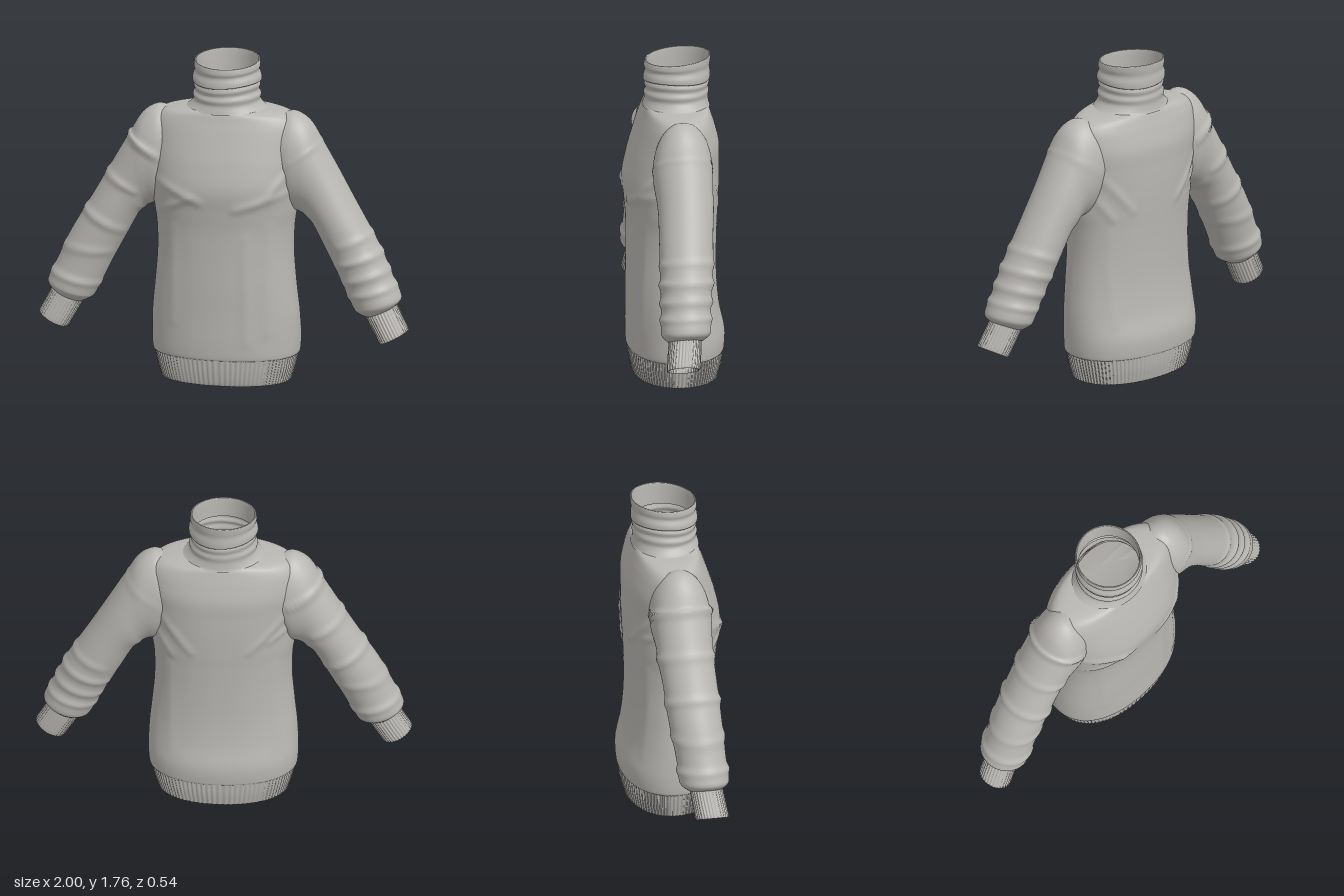
import * as THREE from 'three';

// Smooth interpolation through a list of key rows, u in 0..1
function sample(keys, u) {
  const n = keys.length - 1, f = Math.min(u * n, n - 1e-6), i = Math.floor(f), t = f - i;
  const k = (j) => keys[Math.max(0, Math.min(n, j))];
  return k(i).map((b, c) => {
    const a = k(i - 1)[c], d = k(i + 1)[c], e = k(i + 2)[c];
    return b + 0.5 * t * (d - a + t * (2 * a - 5 * b + 4 * d - e + t * (3 * (b - d) + e - a)));
  });
}

// Closed rings joined into a tube; point(u, angle) returns [x, y, z]
function loft(rows, segs, point, flip) {
  const pos = [], idx = [];
  for (let i = 0; i <= rows; i++) {
    for (let j = 0; j < segs; j++) pos.push(...point(i / rows, (j / segs) * Math.PI * 2));
  }
  for (let i = 0; i < rows; i++) {
    for (let j = 0; j < segs; j++) {
      const k = (j + 1) % segs;
      const a = i * segs + j, b = i * segs + k, c = a + segs, d = b + segs;
      if (flip) idx.push(a, b, c, b, d, c);
      else idx.push(a, c, b, b, c, d);
    }
  }
  const g = new THREE.BufferGeometry();
  g.setAttribute('position', new THREE.Float32BufferAttribute(pos, 3));
  g.setIndex(idx);
  g.computeVertexNormals();
  return g;
}

// Sum of soft ridges along segments [x1, y1, x2, y2, height, width]
function ridges(folds, x, y) {
  let sum = 0;
  for (const [x1, y1, x2, y2, h, w] of folds) {
    const dx = x2 - x1, dy = y2 - y1;
    const t = Math.max(0, Math.min(1, ((x - x1) * dx + (y - y1) * dy) / (dx * dx + dy * dy)));
    const d = Math.hypot(x - x1 - t * dx, y - y1 - t * dy) / w;
    sum += h * Math.exp(-d * d) * (0.6 + 0.4 * Math.sin(Math.PI * t));
  }
  return sum;
}

// Horizontal oval from a key [y, halfWidth, front, back, tilt]
function oval([y, hw, zf, zb, tilt], a, n) {
  const c = Math.cos(a), s = Math.sin(a), p = 2 / n;
  const z = (zf + zb) / 2 + ((zf - zb) / 2) * Math.sign(s) * Math.abs(s) ** p;
  return [hw * Math.sign(c) * Math.abs(c) ** p, y - tilt * z, z];
}

const hemKeys = [
  [0.1, 0.36, 0.228, -0.243, 0], [0.01, 0.338, 0.21, -0.226, 0], [0, 0.346, 0.216, -0.234, 0],
  [0.02, 0.353, 0.224, -0.24, 0], [0.08, 0.37, 0.236, -0.254, 0], [0.15, 0.386, 0.244, -0.262, 0],
];
const bodyKeys = [
  [0.145, 0.384, 0.242, -0.26, 0], [0.16, 0.396, 0.25, -0.268, 0], [0.25, 0.4, 0.252, -0.27, 0],
  [0.38, 0.395, 0.25, -0.243, 0], [0.53, 0.38, 0.25, -0.228, 0], [0.7, 0.367, 0.248, -0.226, 0],
  [0.85, 0.37, 0.25, -0.23, 0], [0.96, 0.385, 0.26, -0.236, 0], [1.08, 0.395, 0.27, -0.24, 0],
  [1.2, 0.405, 0.246, -0.24, 0], [1.3, 0.41, 0.216, -0.238, 0], [1.39, 0.405, 0.186, -0.216, 0],
  [1.44, 0.385, 0.168, -0.2, 0], [1.47, 0.345, 0.158, -0.19, 0], [1.485, 0.28, 0.152, -0.184, 0],
  [1.494, 0.19, 0.148, -0.18, 0],
];
const neckKeys = [
  [1.482, 0.235, 0.165, -0.195, 0], [1.498, 0.208, 0.16, -0.19, 0], [1.53, 0.18, 0.152, -0.186, 0.02],
  [1.56, 0.183, 0.157, -0.19, 0.03], [1.585, 0.172, 0.148, -0.186, 0.03], [1.61, 0.178, 0.154, -0.191, 0.03],
  [1.632, 0.17, 0.148, -0.187, 0.02], [1.634, 0.184, 0.16, -0.196, 0.02], [1.66, 0.184, 0.158, -0.197, 0.04],
  [1.69, 0.173, 0.15, -0.194, 0.06], [1.715, 0.178, 0.156, -0.198, 0.08], [1.74, 0.176, 0.152, -0.2, 0.085],
  [1.743, 0.17, 0.147, -0.195, 0.085], [1.73, 0.165, 0.142, -0.19, 0.085], [1.62, 0.164, 0.14, -0.182, 0.03],
];
// Sleeve sections: outer x, y, inner x, y, centre z, half depth
const sleeveKeys = [
  [0.3, 1.47, 0.32, 1.02, -0.01, 0.15], [0.375, 1.485, 0.35, 0.955, -0.003, 0.16],
  [0.455, 1.435, 0.4, 0.937, 0, 0.158], [0.525, 1.32, 0.425, 0.925, 0, 0.152],
  [0.605, 1.18, 0.44, 0.91, 0, 0.149], [0.7, 1.01, 0.475, 0.875, 0.008, 0.145],
  [0.775, 0.88, 0.55, 0.735, 0.016, 0.143], [0.845, 0.755, 0.61, 0.62, 0.025, 0.138],
  [0.91, 0.61, 0.66, 0.515, 0.035, 0.132], [0.95, 0.525, 0.7, 0.435, 0.04, 0.134],
  [0.957, 0.487, 0.718, 0.412, 0.043, 0.125], [0.932, 0.457, 0.765, 0.388, 0.047, 0.092],
];
const cuffKeys = [
  [0.925, 0.472, 0.765, 0.398, 0.047, 0.086], [0.94, 0.442, 0.778, 0.37, 0.05, 0.087],
  [0.97, 0.385, 0.81, 0.312, 0.058, 0.088], [0.998, 0.332, 0.845, 0.252, 0.066, 0.088],
  [0.993, 0.33, 0.852, 0.256, 0.066, 0.081], [0.955, 0.4, 0.815, 0.332, 0.057, 0.08],
];

const frontFolds = [
  [0.36, 1.18, 0.27, 1.06, 0.013, 0.022], [0.36, 1.07, 0.1, 0.985, 0.013, 0.024],
  [-0.34, 1.11, -0.1, 1.02, 0.013, 0.022], [-0.33, 0.95, -0.15, 1.04, 0.01, 0.022],
  [0.15, 0.82, 0.15, 0.25, 0.006, 0.03], [0.27, 0.88, 0.26, 0.3, 0.007, 0.03],
  [-0.25, 0.85, -0.25, 0.35, 0.006, 0.03],
];
const backFolds = [
  [0.34, 1.18, 0.17, 0.97, 0.01, 0.022], [0.37, 1.08, 0.27, 0.93, 0.01, 0.02],
  [-0.34, 1.18, -0.14, 0.98, 0.01, 0.022], [-0.37, 1.1, -0.25, 1.03, 0.01, 0.02],
  [0.28, 0.85, 0.28, 0.35, 0.006, 0.03], [-0.28, 0.85, -0.28, 0.35, 0.006, 0.03],
];
const leftFolds = [
  [0.34, 1.21, 0.54, 1.34, 0.004, 0.012], [0.64, 0.78, 0.82, 0.85, 0.008, 0.022],
  [0.62, 0.67, 0.88, 0.75, 0.012, 0.02], [0.66, 0.58, 0.92, 0.66, 0.012, 0.02],
  [0.68, 0.5, 0.94, 0.57, 0.01, 0.02],
];
const rightFolds = [
  [-0.55, 1.33, -0.35, 1.23, 0.016, 0.018], [-0.66, 1.12, -0.48, 1.03, 0.01, 0.022],
  [-0.78, 0.92, -0.55, 0.8, 0.011, 0.022], [-0.88, 0.7, -0.62, 0.68, 0.008, 0.025],
  [-0.94, 0.56, -0.68, 0.49, 0.01, 0.022],
];

export function createModel() {
  const group = new THREE.Group();
  const knit = new THREE.MeshStandardMaterial({ color: 0xb9b7b3, side: THREE.DoubleSide });
  knit.name = 'grey knit';
  const add = (name, geometry) => {
    const mesh = new THREE.Mesh(geometry, knit);
    mesh.name = name;
    group.add(mesh);
  };

  // Torso with chest folds
  add('torso', loft(130, 160, (u, a) => {
    const p = oval(sample(bodyKeys, u), a, 2.2);
    const d = ridges(p[2] > 0 ? frontFolds : backFolds, p[0], p[1]);
    return [p[0] + d * 0.4 * Math.cos(a), p[1], p[2] + d * Math.sin(a)];
  }));

  // Ribbed hem
  add('hemBand', loft(15, 540, (u, a) => {
    const p = oval(sample(hemKeys, u), a, 2.2), r = 1 + 0.009 * Math.cos(90 * a);
    return [p[0] * r, p[1], p[2] * r];
  }));

  // Rolled collar with slanted creases
  add('collar', loft(84, 72, (u, a) => {
    const p = oval(sample(neckKeys, u), a, 2);
    const lift = u > 0.1 && u < 0.75 ? 0.008 * Math.sin(2 * a + 0.6) * Math.sin(((u - 0.1) / 0.65) * Math.PI) : 0;
    return [p[0], p[1] + lift, p[2]];
  }));

  // Sleeves and ribbed cuffs
  for (const side of [1, -1]) {
    const prefix = side > 0 ? 'left' : 'right';
    const folds = side > 0 ? leftFolds : rightFolds;
    const arm = (keys, u, a, scale) => {
      const [ox, oy, ix, iy, zc, hz] = sample(keys, u);
      const c = Math.cos(a) * 0.5 * scale;
      return [side * ((ox + ix) / 2 + c * (ox - ix)), (oy + iy) / 2 + c * (oy - iy), zc + hz * scale * Math.sin(a)];
    };
    add(prefix + 'Sleeve', loft(110, 72, (u, a) => {
      const p = arm(sleeveKeys, u, a, 1);
      return arm(sleeveKeys, u, a, 1 + ridges(folds, p[0], p[1]) / 0.14);
    }, side > 0));
    add(prefix + 'Cuff', loft(15, 192, (u, a) => arm(cuffKeys, u, a, 1 + 0.025 * Math.cos(32 * a)), side > 0));
  }
  return group;
}
